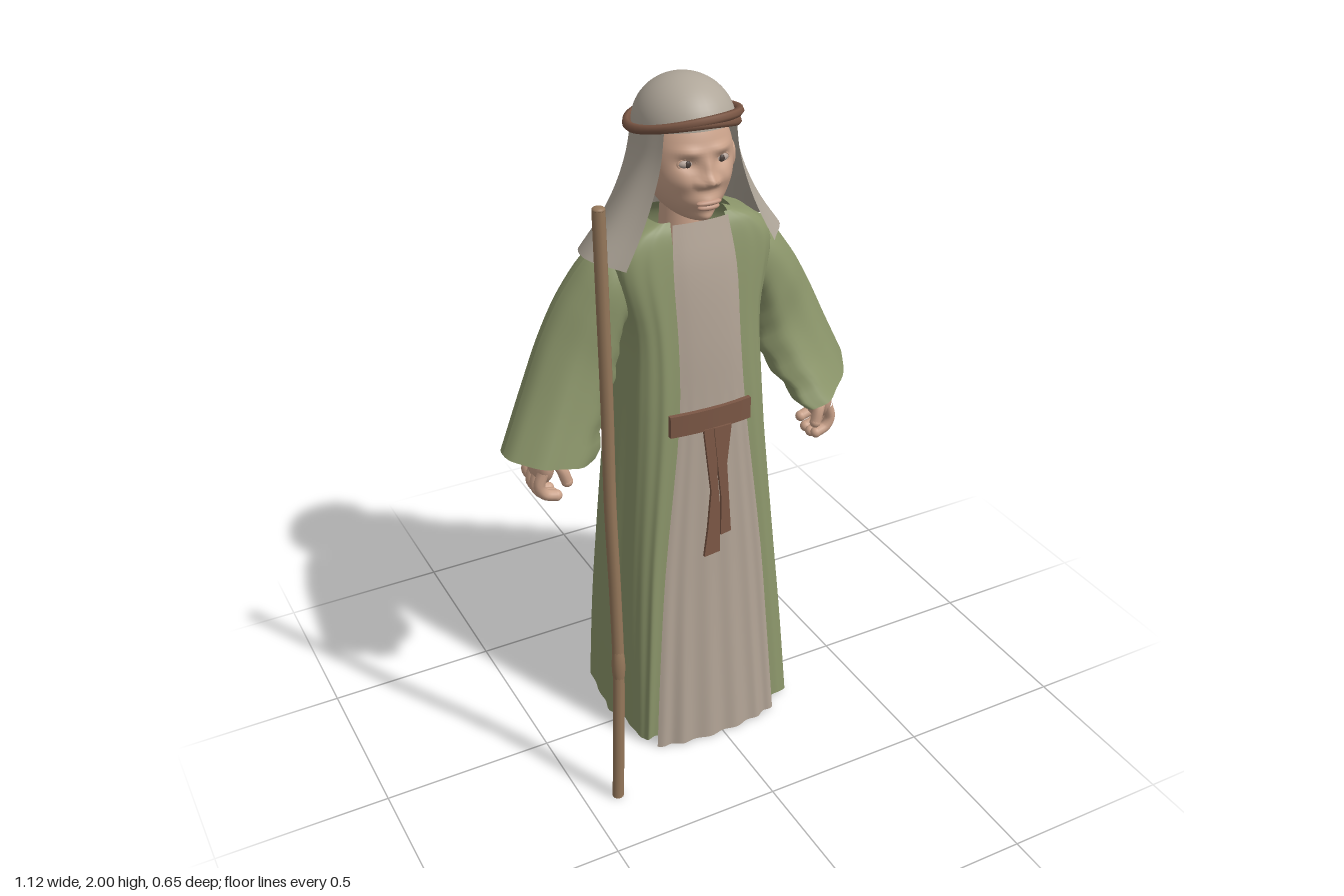
import * as THREE from 'three';

const paint = (name, color, side = THREE.FrontSide) => {
  const m = new THREE.MeshStandardMaterial({ color, side });
  m.name = name;
  return m;
};
const V = (x, y, z) => new THREE.Vector3(x, y, z);

// Smooth cloth surface through rows of control points; tweak(p, u, v) adds folds
function surface(rows, nu, nv, tweak, closed = false) {
  const lines = rows.map(r => new THREE.CatmullRomCurve3(r, closed).getPoints(nu));
  const pos = [], index = [];
  for (let i = 0; i <= nu; i++) {
    const column = new THREE.CatmullRomCurve3(lines.map(l => l[i])).getPoints(nv);
    column.forEach((p, j) => {
      if (tweak) tweak(p, i / nu, j / nv);
      pos.push(p.x, p.y, p.z);
    });
  }
  const n = nv + 1;
  for (let i = 0; i < nu; i++) for (let j = 0; j < nv; j++) {
    const a = i * n + j, b = a + n;
    index.push(a, a + 1, b, b, a + 1, b + 1);
  }
  const g = new THREE.BufferGeometry();
  g.setAttribute('position', new THREE.Float32BufferAttribute(pos, 3));
  g.setIndex(index);
  g.computeVertexNormals();
  return g;
}

// Move every vertex by a rule
function bend(g, rule) {
  const p = g.attributes.position, v = V(0, 0, 0);
  for (let i = 0; i < p.count; i++) {
    rule(v.fromBufferAttribute(p, i));
    p.setXYZ(i, v.x, v.y, v.z);
  }
  g.computeVertexNormals();
  return g;
}

export function createModel() {
  const model = new THREE.Group();
  model.name = 'robedFigure';
  const D = THREE.DoubleSide;
  const green = paint('coat green', 0x8b956a, D);
  const linen = paint('headcloth linen', 0xb0a79a, D);
  const cream = paint('tunic cream', 0xb0a294, D);
  const brown = paint('belt brown', 0x7b5745);
  const wood = paint('staff wood', 0x96785b);
  const skin = paint('skin', 0xcaa28a);
  const lip = paint('lips', 0xc09681);
  const white = paint('eye white', 0xb3a298);
  const dark = paint('iris', 0x4a3f3a);

  const add = (name, geo, mat, parent = model) => {
    const m = new THREE.Mesh(geo, mat);
    m.name = name;
    parent.add(m);
    return m;
  };
  const blob = (name, mat, p, s, parent = model) => {
    const m = add(name, new THREE.SphereGeometry(1, 20, 14), mat, parent);
    m.position.set(...p);
    m.scale.set(...s);
    return m;
  };

  // Open coat: y, opening right/left, half width right/left, front z, back z
  const coat = [
    [1.63, .08, .08, .12, .12, .028, -.12], [1.6, .085, .082, .19, .19, .045, -.16],
    [1.54, .085, .082, .235, .235, .06, -.185], [1.33, .085, .082, .2, .2, .088, -.195],
    [1.1, .09, .09, .21, .205, .11, -.2], [.6, .148, .138, .245, .245, .132, -.235],
    [.3, .172, .158, .26, .275, .145, -.265], [.012, .196, .176, .268, .3, .156, -.288],
  ].map(([y, wr, wl, hr, hl, zf, zb]) => {
    const half = (w, h, s) => [[w, zf], [(w + h) / 2, zf * .93], [h * .93, zf * .55], [h, -.05],
      [h * .93, zb * .7], [h * .65, zb], [h * .3, zb * .92]].map(([x, z]) => V(s * x, y, z));
    return [...half(wl, hl, 1), ...half(wr, hr, -1).reverse()];
  });
  add('coat', surface(coat, 160, 40, (p, u, v) => {
    const k = .009 * Math.min(1, v * 1.3) * Math.sin(Math.PI * u) * (Math.sin(u * 75) + .7 * Math.sin(u * 121 + 1));
    const r = Math.hypot(p.x, p.z + .05) || 1;
    p.x += k * p.x / r;
    p.z += k * (p.z + .05) / r;
    p.y += v > .9 ? .008 * (1 + Math.sin(u * 40)) * (v - .9) * 10 : 0;
  }), green);

  // Tunic panel: y, right edge, left edge, edge z, centre z
  const tunic = [
    [1.63, -.085, .08, .05, .058], [1.5, -.097, .092, .08, .092], [1.3, -.097, .092, .107, .118],
    [1.1, -.102, .102, .12, .13], [.6, -.162, .152, .142, .157], [.3, -.188, .172, .156, .178], [0, -.21, .19, .172, .202],
  ].map(([y, a, b, ze, zc]) => [V(a, y, ze), V(a * .6, y, zc - (zc - ze) * .3), V(0, y, zc),
    V(b * .6, y, zc - (zc - ze) * .3), V(b, y, ze)]);
  add('tunic', surface(tunic, 60, 24, (p, u, v) => {
    p.z += .004 * Math.max(0, v - .45) * 2 * Math.sin(u * 34);
  }), cream);

  // Sleeves: outer edge point, inner edge point, half depth
  const sleeve = (name, s, table) => add(name, surface(table.map(([o, i, d]) => {
    const O = V(s * o[0], o[1], o[2]), I = V(s * i[0], i[1], i[2]);
    const mid = O.clone().add(I).multiplyScalar(.5), arm = O.sub(mid), ring = [];
    for (let k = 0; k < 12; k++) {
      const t = k / 12 * Math.PI * 2;
      ring.push(mid.clone().addScaledVector(arm, Math.cos(t)).add(V(0, 0, d * Math.sin(t))));
    }
    return ring;
  }), 48, 24, (p, u, v) => {
    const inner = Math.max(0, -Math.cos(u * Math.PI * 2));
    p.x += s * .008 * inner * v * Math.sin(v * 38);
    p.z += .004 * v * Math.sin(u * Math.PI * 14);
  }, true), green);
  const shoulder = [[[.13, 1.605, -.07], [.12, 1.36, -.07], .08], [[.25, 1.555, -.075], [.195, 1.33, -.06], .095]];
  sleeve('leftSleeve', 1, [...shoulder, [[.34, 1.45, -.085], [.205, 1.27, -.05], .1], [[.415, 1.33, -.1], [.215, 1.19, -.03], .092],
    [[.487, 1.19, -.115], [.262, 1.09, .02], .095], [[.56, 1.05, -.13], [.315, 1, .085], .1]]);
  sleeve('rightSleeve', -1, [...shoulder, [[.34, 1.45, -.085], [.205, 1.27, -.06], .098], [[.41, 1.33, -.085], [.22, 1.19, -.055], .095],
    [[.48, 1.18, -.07], [.26, 1.08, -.045], .1], [[.56, 1.02, -.04], [.3, .97, -.02], .1]]);

  // Arms and hands with curled fingers
  for (const s of [1, -1]) {
    const hand = new THREE.Group();
    hand.name = s > 0 ? 'leftHand' : 'rightHand';
    hand.scale.x = s;
    if (s < 0) hand.position.set(-.015, .025, -.01);
    model.add(hand);
    const tube = (name, pts, r) => {
      const c = new THREE.CatmullRomCurve3(pts.map(p => V(...p)));
      add(name, new THREE.TubeGeometry(c, 12, r, 10), skin, hand);
      blob(name + 'Tip', skin, pts[pts.length - 1], [r, r, r], hand);
    };
    tube('forearm', [[.36, 1.2, -.05], [.395, 1.1, -.04], [.43, 1, -.03]], .038);
    blob('palm', skin, [.438, .955, -.03], [.036, .075, .06], hand);
    for (let f = 0; f < 4; f++) {
      const z = .012 - f * .029, len = [0, .01, .008, -.012][f];
      tube('finger', [[.447, .935, z], [.46, .89 - len, z - .002], [.445, .862 - len, z - .002], [.412, .85 - len, z]], .0165);
    }
    tube('thumb', [[.43, .985, .005], [.405, .95, .035], [.39, .905, .04]], .0165);
  }

  // Head: a rounded skull with features raised or sunk as soft bumps [x, y, width, height, amount]
  const head = new THREE.Group();
  head.name = 'head';
  head.position.set(-.008, 0, 0);
  model.add(head);
  const features = [[0, 1.757, .02, .015, .028], [0, 1.785, .013, .03, .014], [0, 1.695, .042, .024, .021],
    [0, 1.648, .036, .022, .034]];
  for (const s of [-1, 1]) features.push([s * .05, 1.803, .024, .014, -.014], [s * .045, 1.834, .032, .011, .009],
    [s * .06, 1.755, .025, .025, .009], [s * .024, 1.75, .011, .01, .014]);
  add('face', bend(new THREE.SphereGeometry(1, 72, 64), v => {
    const y = v.y, front = v.z > 0;
    v.x *= .12 * (y < 0 ? 1 + .08 * y : 1);
    v.z = (front ? Math.pow(v.z, .75) : v.z) * .13 - .03 - (y < 0 ? .02 * y : 0);
    v.y = 1.79 + y * .16;
    if (front) for (const [x, h, sx, sy, k] of features) v.z += k * Math.exp(-(((v.x - x) / sx) ** 2) - ((v.y - h) / sy) ** 2);
  }), skin, head);
  blob('upperLip', lip, [0, 1.7, .106], [.037, .0085, .013], head);
  blob('lowerLip', lip, [0, 1.687, .104], [.032, .0095, .014], head);
  for (const s of [-1, 1]) {
    blob('eyeball', white, [s * .05, 1.803, .073], [.023, .0125, .014], head);
    blob('iris', dark, [s * .049, 1.803, .084], [.0085, .0095, .005], head);
    const lid = add('eyelid', new THREE.TorusGeometry(.024, .0035, 8, 24), skin, head);
    lid.position.set(s * .05, 1.803, .081);
    lid.scale.y = .6;
    lid.rotation.y = s * .3;
    blob('ear', skin, [s * .122, 1.775, -.01], [.015, .042, .026], head);
  }
  add('neck', new THREE.CylinderGeometry(.06, .07, .16, 20), skin).position.set(-.008, 1.6, -.04);

  // Headcloth: dome and hanging drape, open at the face
  const dome = add('headclothDome', new THREE.SphereGeometry(1, 40, 16, 0, Math.PI * 2, 0, Math.PI / 2), linen);
  dome.scale.set(.132, .13, .155);
  dome.position.set(-.005, 1.87, -.04);
  dome.rotation.x = -.15;
  const hem = [[.22, .06, 1.53], [.28, -.02, 1.545], [.26, -.12, 1.54], [.185, -.2, 1.52], [.115, -.285, 1.515], [0, -.325, 1.525],
    [-.115, -.285, 1.515], [-.195, -.2, 1.52], [-.28, -.12, 1.54], [-.295, -.03, 1.545], [-.225, .06, 1.53]];
  const drape = [0, .25, .5, .75, 1].map(t => hem.map(([x, z, y1], i) => {
    const a = (52 + i * 25.6) * Math.PI / 180, k = Math.pow(t, 1.7);
    const x0 = -.005 + .132 * Math.sin(a), z0 = -.04 + .155 * Math.cos(a), y0 = 1.875 + .15 * (z0 + .04);
    return V(x0 + (x - x0) * k, y0 + (y1 - y0) * t, z0 + (z - z0) * (z < -.15 ? t : k));
  }));
  add('headclothDrape', surface(drape, 60, 16), linen);

  // Double head cord, dipping at the temples
  for (const s of [-1, 1]) {
    const pts = [];
    for (let i = 0; i < 24; i++) {
      const a = i / 24 * Math.PI * 2, w = s * (.6 + .6 * Math.cos(a - 2)), z = .16 * Math.cos(a);
      pts.push(V(-.006 + (.14 + .003 * w) * Math.sin(a), 1.888 + .18 * z + .015 * w - .014 * Math.sin(a) ** 2, -.043 + z * (1 + .02 * w)));
    }
    add('headCord', new THREE.TubeGeometry(new THREE.CatmullRomCurve3(pts, true), 40, .012, 6, true), brown);
  }

  // Belt and hanging straps
  add('belt', bend(new THREE.BoxGeometry(.25, .065, .014, 16, 1, 1), v => {
    v.z += .136 - .6 * v.x * v.x;
    v.x -= .012;
    v.y += 1.077;
  }), brown);
  const strap = (name, pts, z) => {
    const g = new THREE.ExtrudeGeometry(new THREE.Shape(pts.map(p => new THREE.Vector2(...p))), { depth: .009, bevelEnabled: false });
    add(name, bend(g, v => { v.z += z + (1.05 - v.y) * .06; }), brown);
  };
  strap('longStrap', [[-.04, 1.05], [.005, 1.05], [-.002, .9], [.004, .8], [0, .65], [-.05, .645], [-.036, .73], [-.022, .85]], .136);
  strap('shortStrap', [[-.01, 1.05], [.045, 1.05], [.028, .93], [.036, .71], [.003, .705], [.008, .82], [0, .92]], .139);

  // Walking staff
  const staff = new THREE.CatmullRomCurve3([[-.405, .004, .303], [-.398, .2, .303], [-.388, .45, .295], [-.39, .7, .293],
    [-.4, 1, .3], [-.402, 1.3, .304], [-.407, 1.6, .308], [-.41, 1.832, .308]].map(p => V(...p)));
  add('staff', new THREE.TubeGeometry(staff, 48, .0165, 10), wood);
  for (const t of [0, 1]) blob('staffEnd', wood, staff.getPoint(t).toArray(), [.0165, t ? .008 : .004, .0165]);
  blob('staffKnot', wood, [-.388, .47, .295], [.019, .08, .019]);

  return model;
}
